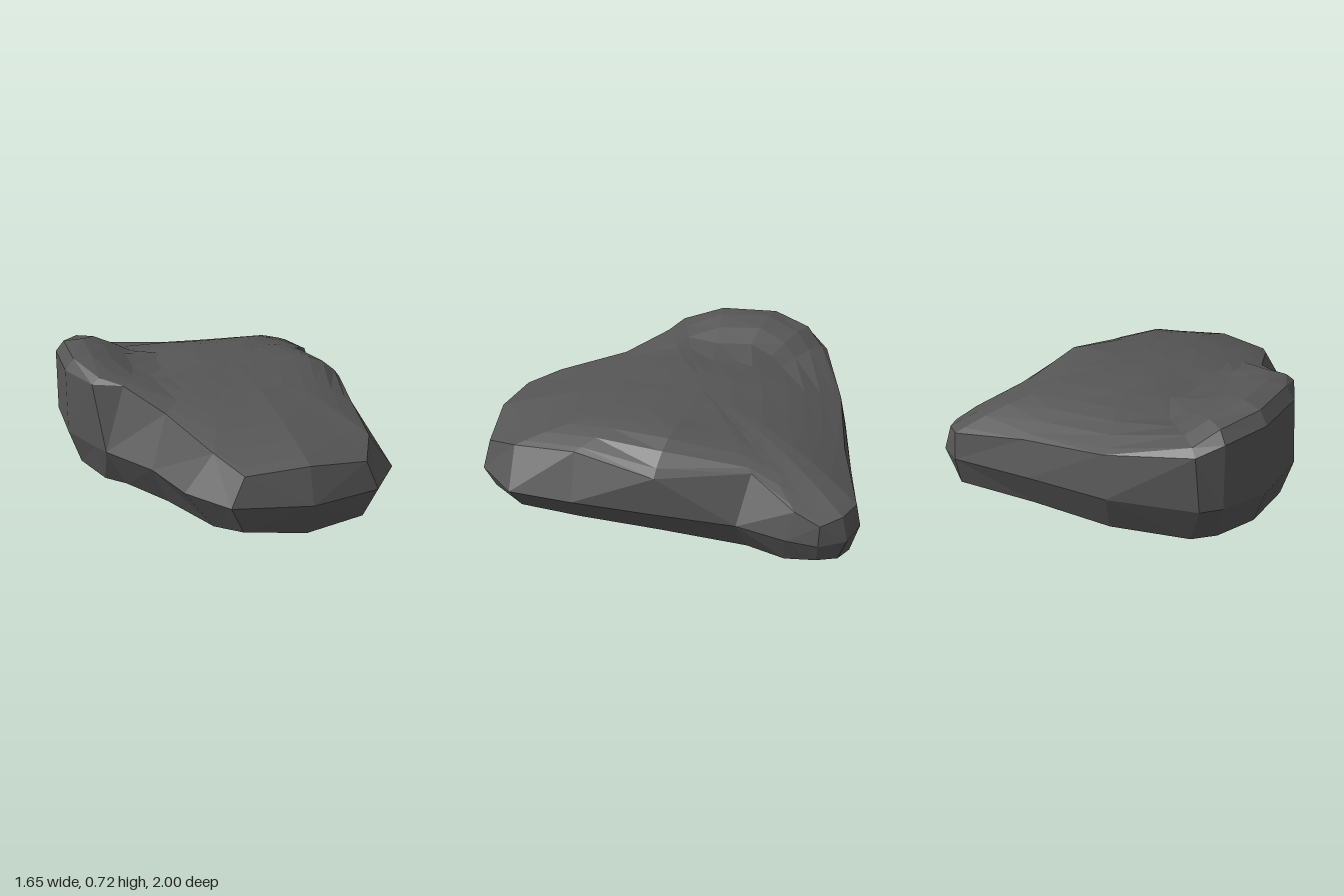
import * as THREE from 'three';

// Widest outline [x, z] at y = 0.3, running from the front round by +x
const girth = [
  [0.18, 1], [0.53, 0.93], [0.70, 0.73], [0.725, 0.4], [0.74, 0],
  [0.75, -0.42], [0.81, -0.66], [0.825, -0.81], [0.76, -0.94], [0.63, -1],
  [0.2, -0.95], [-0.24, -0.91], [-0.66, -0.775], [-0.735, -0.69], [-0.83, -0.46],
  [-0.81, -0.11], [-0.7, 0.11], [-0.65, 0.2], [-0.46, 0.46], [-0.36, 0.73], [-0.19, 0.93],
];

// Upper edge of the side walls [x, y, z], one point per outline point
const shoulder = [
  [0.18, 0.47, 0.935], [0.475, 0.44, 0.9], [0.56, 0.49, 0.73], [0.61, 0.525, 0.4], [0.72, 0.5, -0.02],
  [0.63, 0.53, -0.47], [0.765, 0.44, -0.69], [0.8, 0.4, -0.81], [0.735, 0.42, -0.91], [0.64, 0.43, -0.97],
  [0.25, 0.47, -0.9], [-0.2, 0.5, -0.865], [-0.63, 0.56, -0.765], [-0.725, 0.61, -0.67], [-0.82, 0.645, -0.46],
  [-0.8, 0.645, -0.13], [-0.69, 0.64, 0.1], [-0.54, 0.64, 0.16], [-0.37, 0.56, 0.38],
  [-0.22, 0.49, 0.73], [-0.12, 0.44, 0.9],
];

// Lower edge of the side walls [x, y, z], one point per outline point
const foot = [
  [0.18, 0.12, 0.935], [0.475, 0.15, 0.9], [0.56, 0.11, 0.73], [0.59, 0.105, 0.4], [0.61, 0.1, -0.02],
  [0.63, 0.085, -0.47], [0.74, 0.13, -0.66], [0.79, 0.19, -0.81], [0.735, 0.17, -0.91], [0.64, 0.15, -0.965],
  [0.23, 0.12, -0.88], [-0.2, 0.1, -0.83], [-0.58, 0.1, -0.715], [-0.67, 0.1, -0.62], [-0.76, 0.115, -0.43],
  [-0.75, 0.11, -0.12], [-0.65, 0.1, 0.1], [-0.55, 0.09, 0.17], [-0.37, 0.07, 0.38],
  [-0.22, 0.1, 0.73], [-0.12, 0.15, 0.9],
];

const CX = 0.1, CZ = -0.15; // middle of the top and base
const toward = (x, z, s) => [CX + (x - CX) * s, CZ + (z - CZ) * s];

// Raised ridge along one side, with a shallow trough beside it
const ridge = (x, z) => Math.exp(-(((z + 0.32) / 0.41) ** 4)) *
  (0.08 * Math.exp(-(((x + 0.68) / 0.19) ** 2)) - 0.035 * Math.exp(-(((x + 0.34) / 0.13) ** 2)));

// Crown ring: shrinks the shoulder and rises to the plateau, steeper at mid-length
const crownRing = (s) => shoulder.map(([x, y, z]) => {
  const [px, pz] = toward(x, z, s);
  const power = 2.2 + 4.8 * Math.exp(-(((z + 0.05) / 0.3) ** 2));
  return [px, 0.635 - (0.635 - y) * s ** power + ridge(px, pz), pz];
});

// Underside ring: shrinks the foot and tilts up toward the front and +x
const underRing = (s, y) => foot.map(([x, , z]) => {
  const [px, pz] = toward(x, z, s);
  return [px, y + 0.06 * Math.max(0, px) + 0.02 * Math.max(0, pz), pz];
});

const dist = (a, b) => Math.hypot(a[0] - b[0], a[1] - b[1], a[2] - b[2]);

// Joins rings from bottom to top, splitting quads on the shorter diagonal
function loft(rings, bottom, top) {
  const pos = [];
  const tri = (a, b, c) => pos.push(...a, ...b, ...c);
  const n = rings[0].length;
  for (let i = 0; i < n; i++) {
    const j = (i + 1) % n;
    tri(bottom, rings[0][j], rings[0][i]);
    for (let k = 0; k < rings.length - 1; k++) {
      const lo = rings[k], up = rings[k + 1];
      if (dist(lo[i], up[j]) < dist(lo[j], up[i])) {
        tri(lo[i], lo[j], up[j]);
        tri(lo[i], up[j], up[i]);
      } else {
        tri(lo[i], lo[j], up[i]);
        tri(lo[j], up[j], up[i]);
      }
    }
    tri(rings[rings.length - 1][i], rings[rings.length - 1][j], top);
  }
  const geo = new THREE.BufferGeometry();
  geo.setAttribute('position', new THREE.Float32BufferAttribute(pos, 3));
  geo.computeVertexNormals();
  return geo;
}

export function createModel() {
  const group = new THREE.Group();
  group.name = 'rock';
  const stone = new THREE.MeshStandardMaterial({ color: 0x555555, flatShading: true });
  stone.name = 'dark grey stone';

  const rings = [
    underRing(0.4, 0.004),
    underRing(0.8, 0.02),
    foot,
    girth.map(([x, z]) => [x, 0.3, z]),
    shoulder,
    ...[0.95, 0.84, 0.72, 0.6, 0.42, 0.2].map(crownRing),
  ];
  const boulder = new THREE.Mesh(loft(rings, [CX - 0.2, 0, CZ - 0.15], [CX, 0.635, CZ]), stone);
  boulder.name = 'boulder';
  group.add(boulder);
  return group;
}
